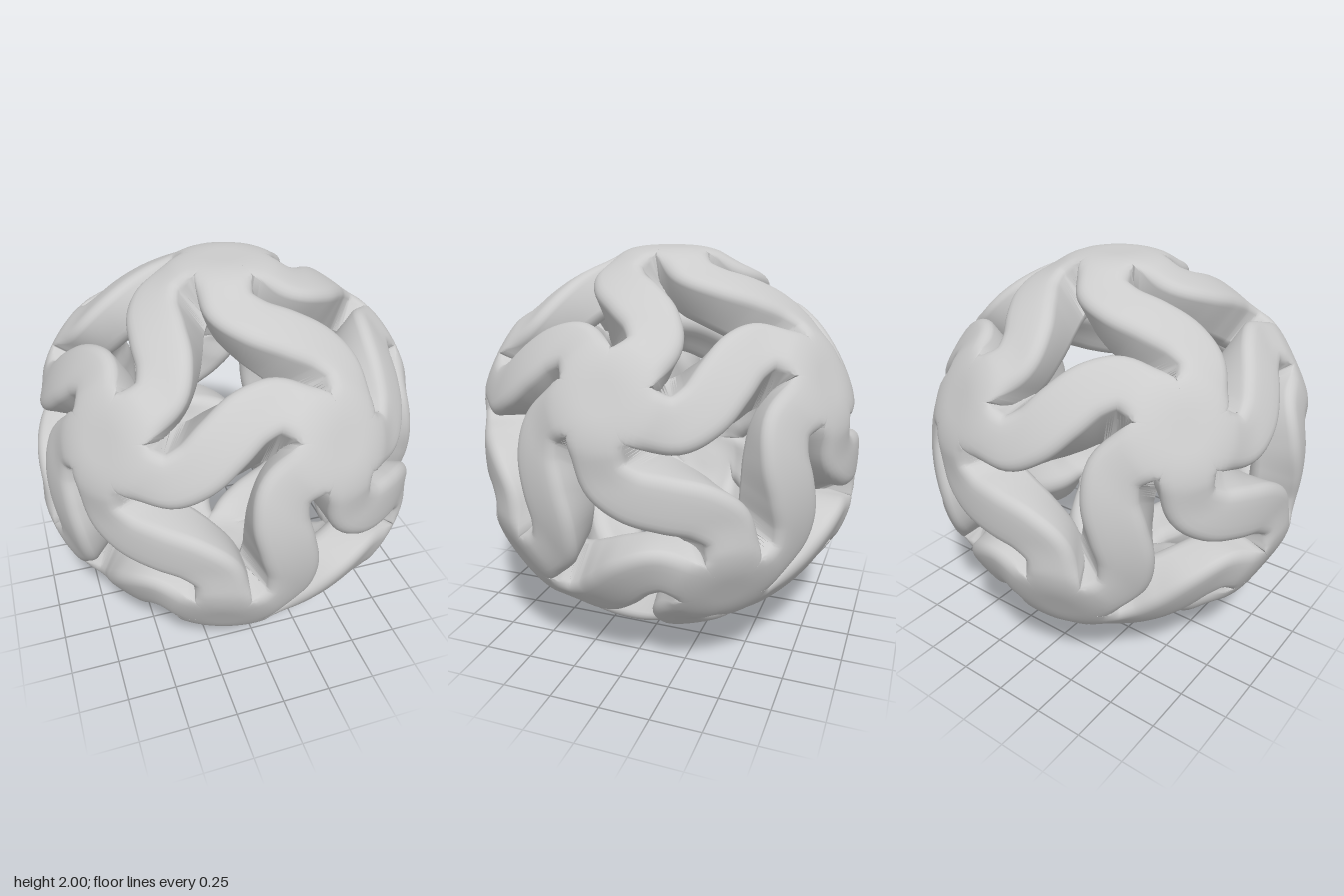
import * as THREE from 'three';
import { toCreasedNormals } from 'three/addons/utils/BufferGeometryUtils.js';

const HALF = Math.atan(2) / 2;   // half the angle between neighbouring hubs
const THICK = 0.25;              // radial depth of an arm
const FLARE = 0.4;               // how much wider an arm is on its inner face
const smooth = THREE.MathUtils.smoothstep;

// Shell radius: flat over a hub, sinking slightly towards the middle of an arm
function shellRadius(d) {
  return THREE.MathUtils.lerp(1 / Math.cos(Math.min(d, 0.25)), 0.975, smooth(d, 0.08, 0.4));
}

// Cross-section loop: a = sideways, f = depth fraction, drop = edge rounding
function crossSection() {
  const edge = (core, f, r) => {
    const pts = [];
    for (let i = 0; i <= 5; i++) {
      const t = (i / 5) * Math.PI / 2;
      pts.push({ a: core + (1 - core) * Math.sin(t), f, drop: r * (1 - Math.cos(t)) });
    }
    return pts;
  };
  const side = (core, f, r) => {
    const right = edge(core, f, r);
    const left = right.map(p => ({ ...p, a: -p.a })).reverse();
    return [...left, { a: -core / 2, f, drop: 0 }, { a: 0, f, drop: 0 }, { a: core / 2, f, drop: 0 }, ...right];
  };
  return [...side(0.55, 0, 0.045), ...side(0.5, 1, -0.07).reverse()];
}

// One S-shaped arm from hub to hub, bent around the unit sphere (x along, y out, z sideways)
function armGeometry() {
  const half = [[-HALF, 0], [-0.465, 0.0645], [-0.376, 0.128], [-0.25, 0.172], [-0.12, 0.118]];
  const path = [...half, [0, 0], ...half.map(([u, v]) => [-u, -v]).reverse()];
  const curve = new THREE.CatmullRomCurve3(path.map(([u, v]) => new THREE.Vector3(u, v, 0)));
  const length = curve.getLength();
  const section = crossSection();
  const rows = 64, n = section.length;
  const pos = [], index = [];
  const hubs = [-1, 1].map(s => new THREE.Vector3(Math.sin(s * HALF), Math.cos(HALF), 0));

  for (let i = 0; i <= rows; i++) {
    const t = i / rows;
    const c = curve.getPointAt(t), tan = curve.getTangentAt(t);
    const s = Math.min(t, 1 - t) * length;
    // wedge at the hub so that five arms tile the star, then a band that widens to the middle
    const band = 0.13 + 0.012 * smooth(s, 0.25, length / 2);
    const w = Math.max(0.003, Math.min(s * Math.tan(Math.PI / 5) * 1.01, band));
    const round = smooth(s, 0.15, 0.3);
    for (const p of section) {
      // the inner face follows a flatter S, which slopes the walls at the notches
      const flat = 1 - 0.5 * p.f * round;
      const nx = -tan.y * flat, ny = tan.x;
      const off = p.a * w * (1 + FLARE * p.f * round) / Math.hypot(nx, ny);
      const u = c.x + nx * off, v = c.y * flat + ny * off;
      const dir = new THREE.Vector3(Math.cos(v) * Math.sin(u), Math.cos(v) * Math.cos(u), Math.sin(v));
      const d = Math.min(...hubs.map(h => dir.angleTo(h)));
      dir.multiplyScalar(shellRadius(d) - THICK * p.f - p.drop * round);
      pos.push(dir.x, dir.y, dir.z);
    }
  }
  for (let i = 0; i < rows; i++) {
    for (let j = 0; j < n; j++) {
      const k = (j + 1) % n;
      const a = i * n + j, b = i * n + k, c = b + n, d = a + n;
      index.push(a, b, c, a, c, d);
    }
  }
  const geo = new THREE.BufferGeometry();
  geo.setAttribute('position', new THREE.Float32BufferAttribute(pos, 3));
  geo.setIndex(index);
  return toCreasedNormals(geo, 0.9);
}

export function createModel() {
  const model = new THREE.Group();
  model.name = 'openworkSphere';
  const material = new THREE.MeshStandardMaterial({ color: 0xcccccc, side: THREE.DoubleSide });

  // Twelve hub directions: two poles and two staggered rings of five
  const hubs = [new THREE.Vector3(0, 1, 0), new THREE.Vector3(0, -1, 0)];
  const ringY = 1 / Math.sqrt(5), ringR = 2 / Math.sqrt(5);
  for (let i = 0; i < 10; i++) {
    const az = i * Math.PI / 5;
    hubs.push(new THREE.Vector3(ringR * Math.cos(az), i % 2 ? -ringY : ringY, ringR * Math.sin(az)));
  }

  // One arm for each pair of neighbouring hubs
  const geo = armGeometry();
  hubs.forEach((a, i) => hubs.slice(i + 1).forEach(b => {
    if (a.dot(b) < 0.4) return;
    const along = b.clone().sub(a).normalize();
    const out = a.clone().add(b).normalize();
    const arm = new THREE.Mesh(geo, material);
    arm.name = 'curvedArm';
    arm.quaternion.setFromRotationMatrix(
      new THREE.Matrix4().makeBasis(along, out, along.clone().cross(out)));
    arm.position.y = 1;
    model.add(arm);
  }));
  return model;
}
